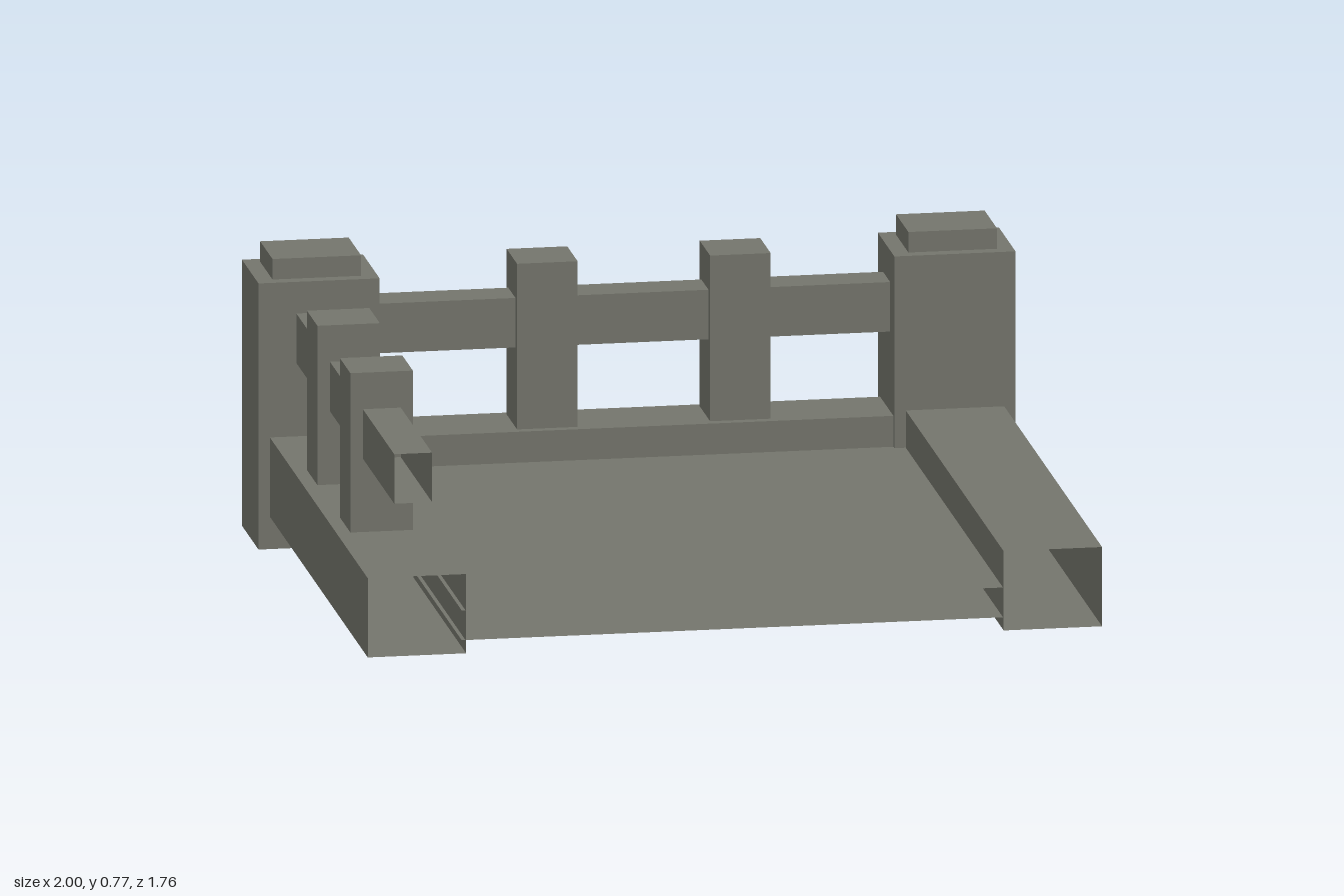
import * as THREE from 'three';

export function createModel() {
  const model = new THREE.Group();
  model.name = 'balcony';
  const stone = new THREE.MeshStandardMaterial({ color: 0x74756c, side: THREE.DoubleSide });
  stone.name = 'grey stone';

  // Block given by its extents; an open block has no front and back ends
  function block(name, [x0, x1], [y0, y1], [z0, z1], open = false) {
    const geometry = new THREE.BoxGeometry(x1 - x0, y1 - y0, z1 - z0);
    if (open) {
      geometry.setIndex(Array.from(geometry.index.array.slice(0, 24)));
      geometry.clearGroups();
    }
    const mesh = new THREE.Mesh(geometry, stone);
    mesh.name = name;
    mesh.position.set((x0 + x1) / 2, (y0 + y1) / 2, (z0 + z1) / 2);
    model.add(mesh);
  }

  // Floor: upper and lower sheets
  for (const [name, y, turn] of [['floorTop', 0.2, -1], ['floorUnderside', 0.12, 1]]) {
    const sheet = new THREE.Mesh(new THREE.PlaneGeometry(1.44, 1.59), stone);
    sheet.name = name;
    sheet.rotation.x = turn * Math.PI / 2;
    sheet.position.set(0, y, 0.075);
    model.add(sheet);
  }

  // Corner posts with caps, and open-ended side beams
  for (const [side, s] of [['left', 1], ['right', -1]]) {
    const span = (a, b) => (s > 0 ? [a, b] : [-b, -a]);
    block(side + 'Post', span(0.68, 1), [0, 0.715], [-0.88, -0.625]);
    block(side + 'PostCap', span(0.723, 0.957), [0.715, 0.77], [-0.85, -0.66]);
    block(side + 'Beam', span(0.71, 0.97), [0.087, 0.3], [-0.64, 0.88], true);
  }

  // Back railing
  block('backBeam', [-0.7, 0.7], [0.14, 0.283], [-0.845, -0.64]);
  block('backRail', [-0.7, 0.7], [0.497, 0.63], [-0.8, -0.69]);
  for (const x of [-0.23, 0.28])
    block('backBaluster', [x - 0.08, x + 0.08], [0.275, 0.728], [-0.825, -0.665]);

  // Side railing, right side only
  block('sideRail', [-0.9, -0.8], [0.497, 0.63], [-0.64, 0.88], true);
  for (const z of [-0.19, 0.317])
    block('sideBaluster', [-0.933, -0.768], [0.28, 0.728], [z - 0.081, z + 0.081]);

  return model;
}
